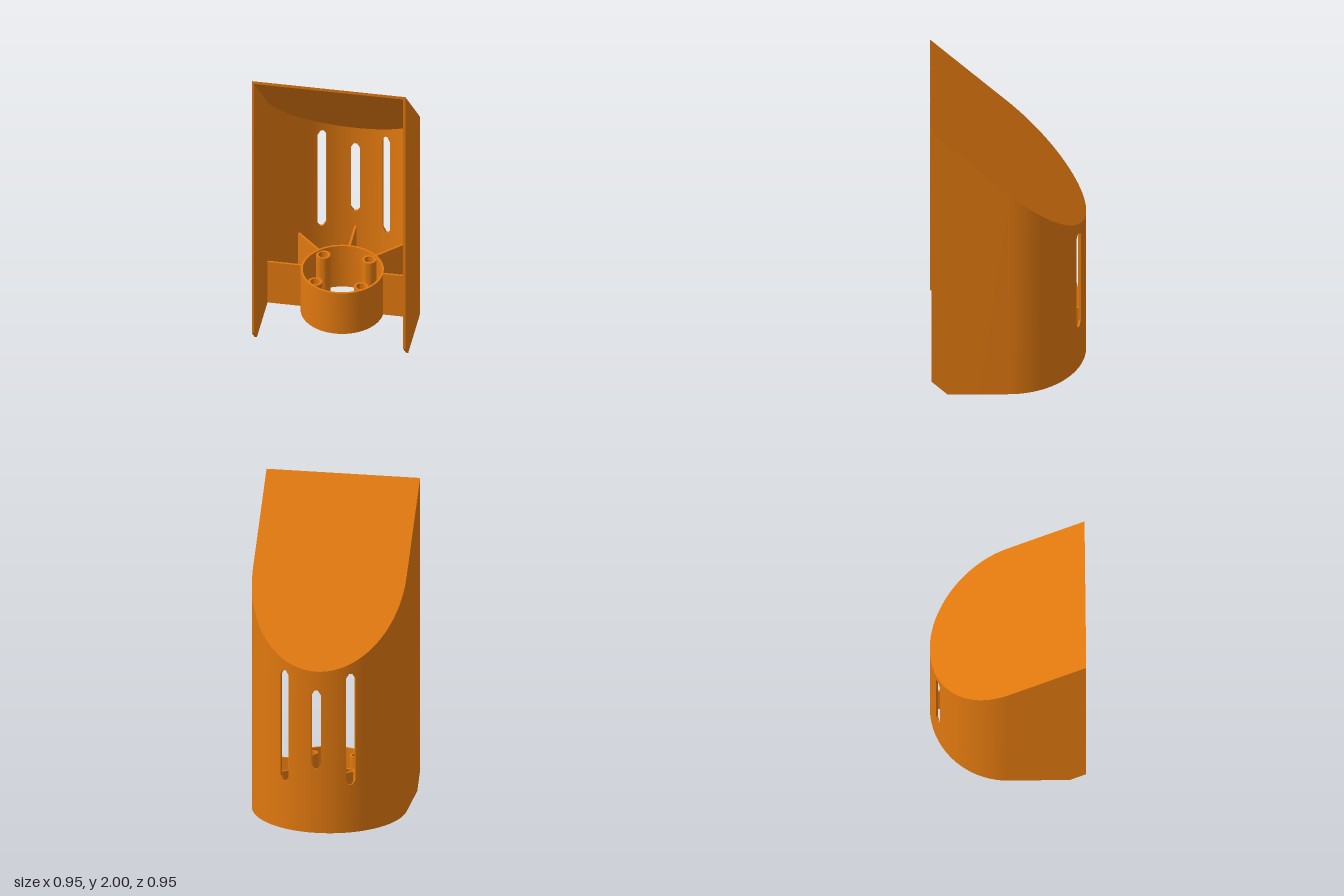
import * as THREE from 'three';
import { toCreasedNormals } from 'three/addons/utils/BufferGeometryUtils.js';

const R = 0.477, T = 0.014;            // outer radius and wall thickness
const FRONT = 0.475, CHAMFER = 0.1;    // front edge and its lower chamfer
const ROOF_Y = 1.525, ROOF_T = 0.02;   // roof height at z = 0, vertical thickness
const BASE_H = 0.305, RING_R = 0.255;
const rad = THREE.MathUtils.degToRad;
const SLOTS = [
  { c: -25.6, w: 3.6, lo: 0.31, hi: 1.03 },
  { c: 0, w: 3.6, lo: 0.415, hi: 0.925 },
  { c: 25.6, w: 3.6, lo: 0.31, hi: 1.03 },
];

// Angles along the round back (0 = rear), with extra stops at the slot edges
function backAngles() {
  const list = [];
  for (let a = -90; a <= 90; a += 3) {
    if (!SLOTS.some(s => Math.abs(a - s.c) < s.w + 0.5)) list.push(a);
  }
  for (const { c, w } of SLOTS) list.push(c - w, c - w / 3, c + w / 3, c + w);
  return list.sort((p, q) => p - q);
}

// U-shaped wall path: position, outward direction and lower edge
function wallPath() {
  const side = (x, z, lo) => ({ x: x * R, z, nx: x, nz: 0, lo, a: x * 999 });
  const round = backAngles().map(a => {
    const nx = Math.sin(rad(a)), nz = -Math.cos(rad(a));
    return { x: nx * R, z: nz * R, nx, nz, lo: 0, a };
  });
  return [
    side(-1, FRONT, CHAMFER), side(-1, FRONT - CHAMFER, 0),
    ...round,
    side(1, FRONT - CHAMFER, 0), side(1, FRONT, CHAMFER),
  ];
}

// Wall built as curved blocks, split above and below each slot
function wallGeometry() {
  const pos = [];
  const quad = (a, b, c, d) => pos.push(...a, ...b, ...c, ...a, ...c, ...d);
  const corners = (p, lo, hi) => {
    const ix = p.x - p.nx * T, iz = p.z - p.nz * T;
    const top = z => hi ?? z + ROOF_Y - ROOF_T;
    return {
      ol: [p.x, lo, p.z], oh: [p.x, top(p.z), p.z],
      il: [ix, lo, iz], ih: [ix, top(iz), iz],
    };
  };
  const block = (A, B) => {
    quad(B.ol, A.ol, A.oh, B.oh);
    quad(A.il, B.il, B.ih, A.ih);
    quad(A.ih, B.ih, B.oh, A.oh);
    quad(A.ol, B.ol, B.il, A.il);
    quad(A.ol, A.il, A.ih, A.oh);
    quad(B.il, B.ol, B.oh, B.ih);
  };
  const path = wallPath();
  for (let i = 0; i < path.length - 1; i++) {
    const p = path[i], q = path[i + 1];
    const inside = (s, a) => Math.abs(a - s.c) < s.w + 1e-4;
    const slot = SLOTS.find(s => inside(s, p.a) && inside(s, q.a));
    if (!slot) {
      block(corners(p, p.lo), corners(q, q.lo));
      continue;
    }
    const taper = a => 0.03 * Math.max(0, (Math.abs(a - slot.c) / slot.w - 1 / 3) * 1.5);
    const tp = taper(p.a), tq = taper(q.a);
    block(corners(p, 0, slot.lo + tp), corners(q, 0, slot.lo + tq));
    block(corners(p, slot.hi - tp), corners(q, slot.hi - tq));
  }
  const g = new THREE.BufferGeometry();
  g.setAttribute('position', new THREE.Float32BufferAttribute(pos, 3));
  return toCreasedNormals(g, rad(30));
}

// Flat slab in the U outline, sheared to a 45 degree slope
function roofGeometry() {
  const outline = new THREE.Shape(wallPath().map(p => new THREE.Vector2(p.x, -p.z)));
  const g = new THREE.ExtrudeGeometry(outline, { depth: ROOF_T, bevelEnabled: false });
  g.rotateX(-Math.PI / 2);
  const p = g.attributes.position;
  for (let i = 0; i < p.count; i++) {
    p.setY(i, p.getY(i) + p.getZ(i) + ROOF_Y - ROOF_T);
  }
  return toCreasedNormals(g, rad(30));
}

// Upright open tube standing on y = 0
function tubeGeometry(outer, inner, height, segments) {
  const s = new THREE.Shape().absarc(0, 0, outer, 0, Math.PI * 2);
  s.holes.push(new THREE.Path().absarc(0, 0, inner, 0, Math.PI * 2, true));
  const g = new THREE.ExtrudeGeometry(s, {
    depth: height, bevelEnabled: false, curveSegments: segments,
  });
  g.rotateX(-Math.PI / 2);
  return toCreasedNormals(g, rad(35));
}

export function createModel() {
  const model = new THREE.Group();
  model.name = 'slantedHood';
  const material = new THREE.MeshStandardMaterial({ color: 0xe0780f });
  const add = (name, geometry, parent = model) => {
    const mesh = new THREE.Mesh(geometry, material);
    mesh.name = name;
    parent.add(mesh);
    return mesh;
  };

  add('slottedWall', wallGeometry());
  add('slopedRoof', roofGeometry());

  // Socket ring in the base
  add('socketRing', tubeGeometry(RING_R, RING_R - 0.014, BASE_H, 64));

  // Radial fins from the ring to the wall, around the back half
  const fins = new THREE.Group();
  fins.name = 'fins';
  model.add(fins);
  const r0 = RING_R - 0.007, r1 = R - T / 2;
  for (let a = -90; a <= 90; a += 45) {
    const g = new THREE.BoxGeometry(0.014, BASE_H, r1 - r0);
    g.translate(0, BASE_H / 2, -(r0 + r1) / 2);
    add('fin', g, fins).rotation.y = rad(a);
  }

  // Small hollow posts against the inside of the ring
  const posts = new THREE.Group();
  posts.name = 'posts';
  model.add(posts);
  for (let a = 45; a < 360; a += 90) {
    const post = add('post', tubeGeometry(0.044, 0.03, BASE_H - 0.02, 20), posts);
    post.position.set(0.202 * Math.sin(rad(a)), 0.01, 0.202 * Math.cos(rad(a)));
  }
  return model;
}
